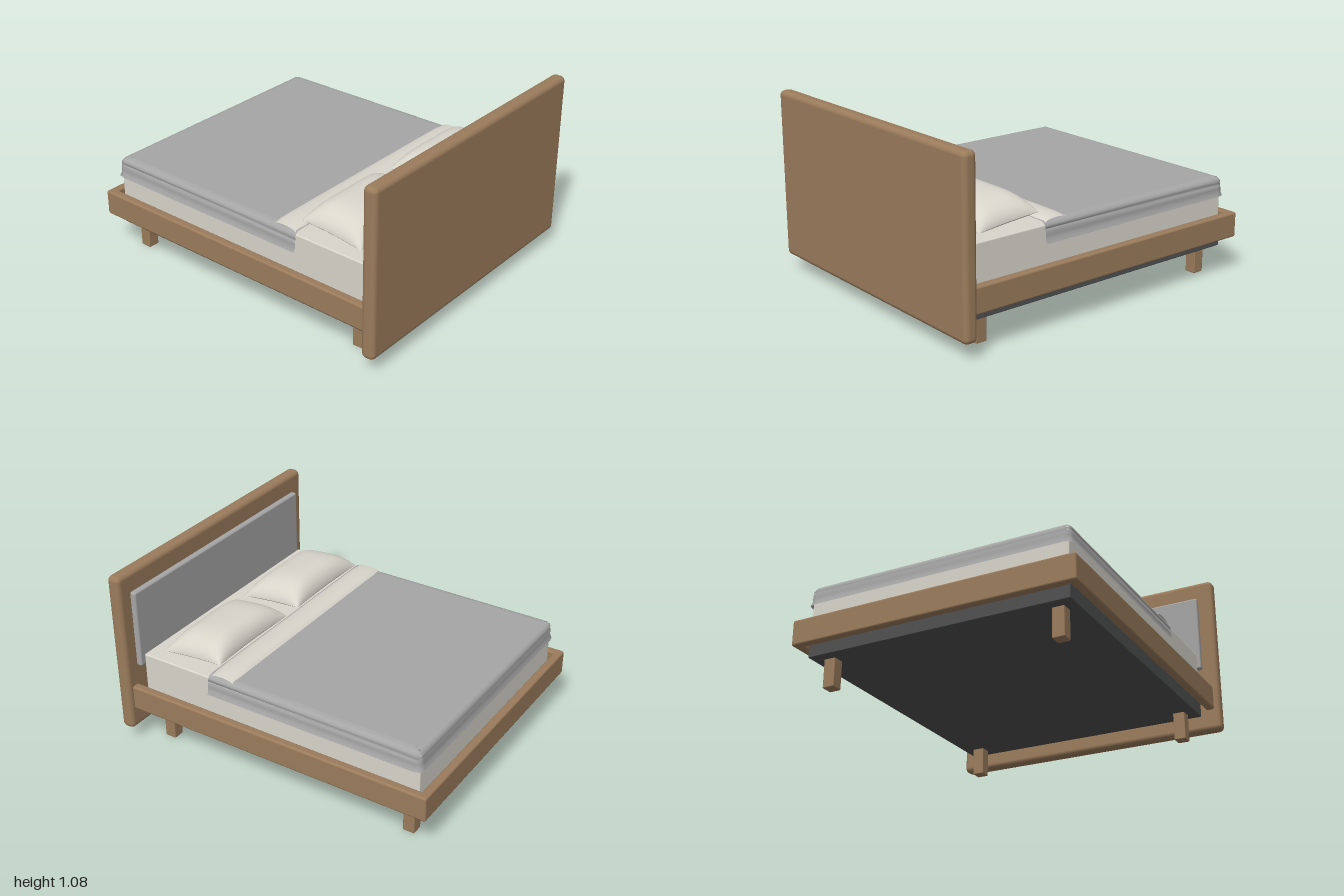
import * as THREE from 'three';
import { RoundedBoxGeometry } from 'three/addons/geometries/RoundedBoxGeometry.js';

const mat = (name, color, side = THREE.FrontSide) => {
  const m = new THREE.MeshStandardMaterial({ color, side });
  m.name = name;
  return m;
};

// Smooth grid surface from fn(u, v) -> [x, y, z] with u, v in 0..1; it faces du x dv
function surface(fn, nu, nv) {
  const pos = [], idx = [];
  for (let j = 0; j <= nv; j++)
    for (let i = 0; i <= nu; i++) pos.push(...fn(i / nu, j / nv));
  for (let j = 0; j < nv; j++)
    for (let i = 0; i < nu; i++) {
      const a = j * (nu + 1) + i, b = a + 1, c = a + nu + 1, d = c + 1;
      idx.push(a, b, d, a, d, c);
    }
  const g = new THREE.BufferGeometry();
  g.setAttribute('position', new THREE.Float32BufferAttribute(pos, 3));
  g.setIndex(idx);
  g.computeVertexNormals();
  return g;
}

export function createModel() {
  const wood = mat('wood', 0x9b7c5c);
  const linen = mat('linen', 0xd8d5cb, THREE.DoubleSide);
  const grey = mat('grey fabric', 0xa6a6a6, THREE.DoubleSide);
  const dark = mat('dark base', 0x505152);
  const bed = new THREE.Group();
  bed.name = 'bed';

  const add = (name, geometry, material, parent = bed) => {
    const m = new THREE.Mesh(geometry, material);
    m.name = name;
    parent.add(m);
    return m;
  };
  // Rounded block given by its minimum and maximum corners
  const block = (name, material, [x0, y0, z0], [x1, y1, z1], r) => {
    const m = add(name, new RoundedBoxGeometry(x1 - x0, y1 - y0, z1 - z0, 3, r), material);
    m.position.set((x0 + x1) / 2, (y0 + y1) / 2, (z0 + z1) / 2);
    return m;
  };

  // Headboard and its padded panel
  block('headboard', wood, [-0.875, 0.09, 0.917], [0.875, 1.08, 1], 0.03);
  block('headboardPanel', grey, [-0.785, 0.485, 0.885], [0.785, 0.96, 0.93], 0.012);

  // Rails and legs
  for (const s of [-1, 1]) {
    const [a, b] = s < 0 ? [-0.84, -0.79] : [0.79, 0.84];
    block('sideRail', wood, [a, 0.22, -1], [b, 0.37, 0.93], 0.012);
    for (const z of [0.777, -0.835])
      block('leg', wood, [s * 0.678 - 0.035, 0, z - 0.035], [s * 0.678 + 0.035, 0.18, z + 0.035], 0.006);
  }
  block('footRail', wood, [-0.83, 0.22, -1], [0.83, 0.37, -0.95], 0.012);

  // Base and mattress
  block('base', dark, [-0.775, 0.165, -0.93], [0.775, 0.31, 0.87], 0.005);
  block('mattress', linen, [-0.77, 0.31, -0.925], [0.77, 0.57, 0.87], 0.008);

  // Duvet: flat top and a skirt swept round the two sides and the foot
  const duvet = new THREE.Group();
  duvet.name = 'duvet';
  bed.add(duvet);
  const headZ = 0.41, X = 0.778, Z = -0.928;
  // Profile: outward offset, height, extra offset of the crease along the sides
  const profile = [
    [-0.05, 0.588, 0], [-0.025, 0.586, 0], [-0.01, 0.58, 0], [0, 0.568, 0], [0.003, 0.553, 0],
    [0.001, 0.546, -0.008], [0.004, 0.538, 0.002], [0.005, 0.515, 0], [0.006, 0.494, 0], [0.014, 0.472, 0.002],
  ];
  // Path: x, z, direction of the offset, crease strength
  const path = [
    [-X, headZ, -1, 0, 1], [-X, -0.3, -1, 0, 1], [-X, -0.78, -1, 0, 1],
    [-X, Z + 0.03, -1, 0, 0.5], [-X + 0.008, Z + 0.008, -0.9, -0.9, 0], [-X + 0.03, Z, 0, -1, 0],
    [0, Z, 0, -1, 0],
    [X - 0.03, Z, 0, -1, 0], [X - 0.008, Z + 0.008, 0.9, -0.9, 0], [X, Z + 0.03, 1, 0, 0.5],
    [X, -0.78, 1, 0, 1], [X, -0.3, 1, 0, 1], [X, headZ, 1, 0, 1],
  ];
  add('duvetSkirt', surface((u, v) => {
    const [x, z, nx, nz, k] = path[Math.round(u * (path.length - 1))];
    const [o, y, crease] = profile[Math.round((1 - v) * (profile.length - 1))];
    const d = o + crease * k;
    return [x + nx * d, y, z + nz * d];
  }, path.length - 1, profile.length - 1), grey, duvet);
  add('duvetTop', surface((u, v) => [
    (u * 2 - 1) * (X - 0.045), 0.588, headZ + (Z + 0.045 - headZ) * v,
  ], 1, 1), grey, duvet);

  // Sheet turned back over the head end of the duvet
  add('foldedSheet', surface((u, v) => {
    const s = u * 2 - 1;
    return [s * 0.768, 0.59 + 0.018 * Math.sqrt(Math.sin(Math.PI * v)) - 0.01 * s ** 16, 0.402 - 0.152 * v];
  }, 32, 12), linen, bed);

  // Pillows: two bulging halves joined at a seam, with pinched corners
  const pillowHalf = (top) => surface((u, v) => {
    const a = Math.sin((u - 0.5) * Math.PI), b = Math.sin((v - 0.5) * Math.PI) * (top ? -1 : 1);
    const bulge = ((1 - a ** 4) * (1 - b ** 4)) ** 0.6;
    const x = a * (0.322 - 0.012 * (1 - b * b));
    const z = b * (0.197 - 0.012 * (1 - a * a));
    const seam = 0.602 - 0.018 * b;
    return [x, seam + bulge * (top ? 0.118 - 0.012 * b * b : -0.034), z];
  }, 28, 24);
  for (const s of [-1, 1]) {
    const pillow = new THREE.Group();
    pillow.name = s > 0 ? 'leftPillow' : 'rightPillow';
    pillow.position.set(s * 0.378, 0, 0.583);
    add('pillowTop', pillowHalf(true), linen, pillow);
    add('pillowBottom', pillowHalf(false), linen, pillow);
    bed.add(pillow);
  }
  return bed;
}
